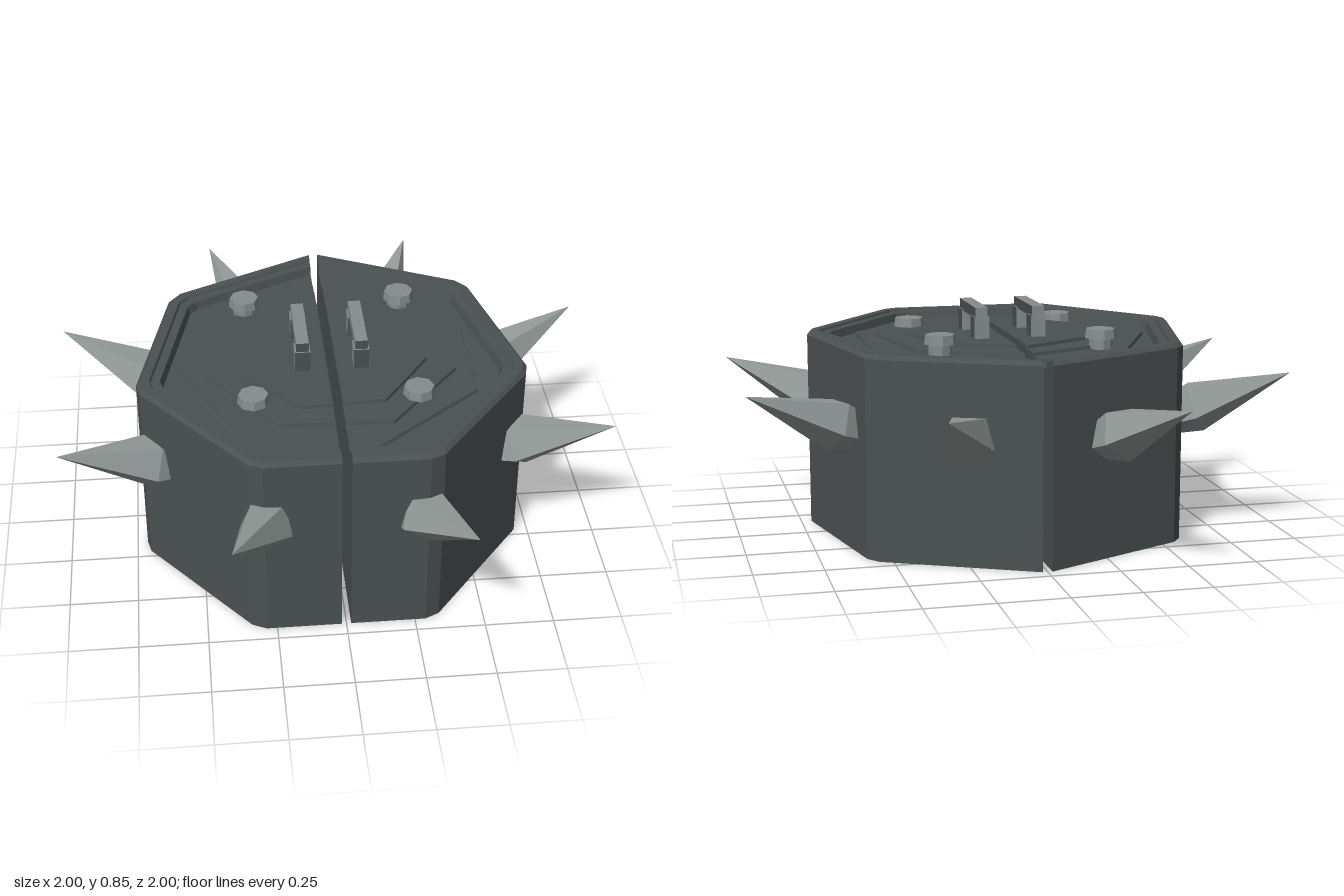
import * as THREE from 'three';

const GAP = 0.017, CZ = 0.03;
const mat = (name, color) => Object.assign(new THREE.MeshStandardMaterial({ color, flatShading: true }), { name });

// Heptagon in x,z around the body centre; corners can be slightly cut off
function heptagon(r, turn, chamfer) {
  const corner = k => {
    const a = turn + (k * Math.PI * 2) / 7;
    return new THREE.Vector2(Math.sin(a) * r, -Math.cos(a) * r);
  };
  const pts = [];
  for (let k = 0; k < 7; k++) {
    if (!chamfer || k === 0) { pts.push(corner(k)); continue; }
    pts.push(corner(k).lerp(corner(k - 1), chamfer), corner(k).lerp(corner(k + 1), chamfer));
  }
  return pts;
}

// Keep the part of a polygon on one side of the middle gap, starting and ending at the cut
function clipHalf(pts, side) {
  const out = [];
  pts.forEach((p, i) => {
    const q = pts[(i + 1) % pts.length];
    const dp = side * p.x - GAP, dq = side * q.x - GAP;
    if (dp >= 0) out.push(p);
    if (dp * dq < 0) out.push(p.clone().lerp(q, dp / (dp - dq)));
  });
  const onCut = p => Math.abs(side * p.x - GAP) < 1e-6;
  const start = out.findIndex((p, i) => onCut(p) && !onCut(out[(i + 1) % out.length]));
  return out.slice(start).concat(out.slice(0, start));
}

// Half of a heptagonal slab, through levels of [height, radius]
function halfSlab(levels, side, turn = 0, chamfer = 0) {
  const rings = levels.map(([y, r]) =>
    clipHalf(heptagon(r, turn, chamfer), side).map(p => new THREE.Vector3(p.x, y, p.y + CZ)));
  const n = rings[0].length, verts = [];
  const tri = (...p) => p.forEach(v => verts.push(v.x, v.y, v.z));
  for (let l = 0; l < rings.length - 1; l++) {
    const a = rings[l], b = rings[l + 1];
    for (let i = 0; i < n - 1; i++) {
      tri(a[i + 1], a[i], b[i]);
      tri(a[i + 1], b[i], b[i + 1]);
    }
  }
  const bottom = rings[0], top = rings[rings.length - 1];
  for (let i = 1; i < n - 1; i++) {
    tri(bottom[0], bottom[i], bottom[i + 1]);
    tri(top[0], top[i + 1], top[i]);
  }
  // Flat face along the gap
  const edge = rings.map(r => r[0]).concat(rings.map(r => r[n - 1]).reverse());
  const flat = edge.map(p => new THREE.Vector2(p.z, p.y));
  for (const [i, j, k] of THREE.ShapeUtils.triangulateShape(flat, [])) {
    const area = THREE.ShapeUtils.area([flat[i], flat[j], flat[k]]);
    if (area * side > 0) tri(edge[i], edge[j], edge[k]);
    else tri(edge[i], edge[k], edge[j]);
  }
  const geo = new THREE.BufferGeometry();
  geo.setAttribute('position', new THREE.Float32BufferAttribute(verts, 3));
  geo.computeVertexNormals();
  return geo;
}

export function createModel() {
  const model = new THREE.Group();
  model.name = 'spikedHeptagonalCasing';
  const dark = mat('darkIron', 0x4b5152);
  const steel = mat('steel', 0x868c8d);
  const spikeMetal = mat('spikeMetal', 0x929a98);

  const add = (name, geo, material, parent = model) => {
    const mesh = new THREE.Mesh(geo, material);
    mesh.name = name;
    parent.add(mesh);
    return mesh;
  };

  for (const side of [1, -1]) {
    const tag = side > 0 ? 'left' : 'right';

    // Casing half with raised rim and sunken top
    const R = 0.738;
    add(tag + 'Casing', halfSlab([
      [0, R], [0.725, R], [0.74, R - 0.015], [0.74, R - 0.05],
      [0.73, R - 0.055], [0.73, R - 0.09], [0.7, R - 0.1],
    ], side, 0, 0.05), dark);

    // Stepped plates, each turned against the next
    const steps = [[0.575, 0.712, 0.225], [0.475, 0.724, 0.03], [0.365, 0.736, -0.06]];
    steps.forEach(([r, y, turn], i) =>
      add(tag + 'TopPlate' + (i + 1), halfSlab([[0.69, r], [y, r - 0.008]], side, turn), dark));

    // Carrying handle
    const handle = new THREE.Group();
    handle.name = tag + 'Handle';
    handle.position.set(side * 0.107, 0, -0.005);
    const faces = [dark, steel, steel, dark, dark, steel];
    add('handleBar', new THREE.BoxGeometry(0.046, 0.04, 0.275), faces, handle).position.y = 0.83;
    for (const z of [-0.11, 0.11])
      add('handlePost', new THREE.BoxGeometry(0.056, 0.1, 0.066), faces, handle).position.set(0, 0.765, z);
    model.add(handle);

    // Bolts with octagonal heads; the front pair sits lower
    for (const [z, y] of [[-0.31, 0.785], [0.3, 0.757]]) {
      const bolt = new THREE.Group();
      bolt.name = tag + (z < 0 ? 'BackBolt' : 'FrontBolt');
      bolt.position.set(side * 0.297, y, z);
      add('boltHead', new THREE.CylinderGeometry(0.054, 0.058, 0.034, 8), steel, bolt).position.y = -0.017;
      add('boltStem', new THREE.CylinderGeometry(0.042, 0.042, 0.06, 8), steel, bolt).position.y = -0.05;
      model.add(bolt);
    }

    // Spikes, widest a little outside the wall and tilted upwards
    for (const front of [1, -1]) {
      for (const [x, z] of [[1, 0.41], [0.41, 1]]) {
        const tip = new THREE.Vector3(side * x, 0.61, front * z);
        const root = new THREE.Vector3(side * x * 0.55, 0.42, front * z * 0.55);
        const length = tip.distanceTo(root);
        const profile = [[0, 0], [0.065, 0], [0.1, length - 0.375], [0, length]].map(p => new THREE.Vector2(...p));
        const spike = add(tag + (front > 0 ? 'Front' : 'Back') + 'Spike', new THREE.LatheGeometry(profile, 5), spikeMetal);
        spike.position.copy(root);
        spike.lookAt(tip);
        spike.rotateX(Math.PI / 2);
      }
    }
  }
  return model;
}
